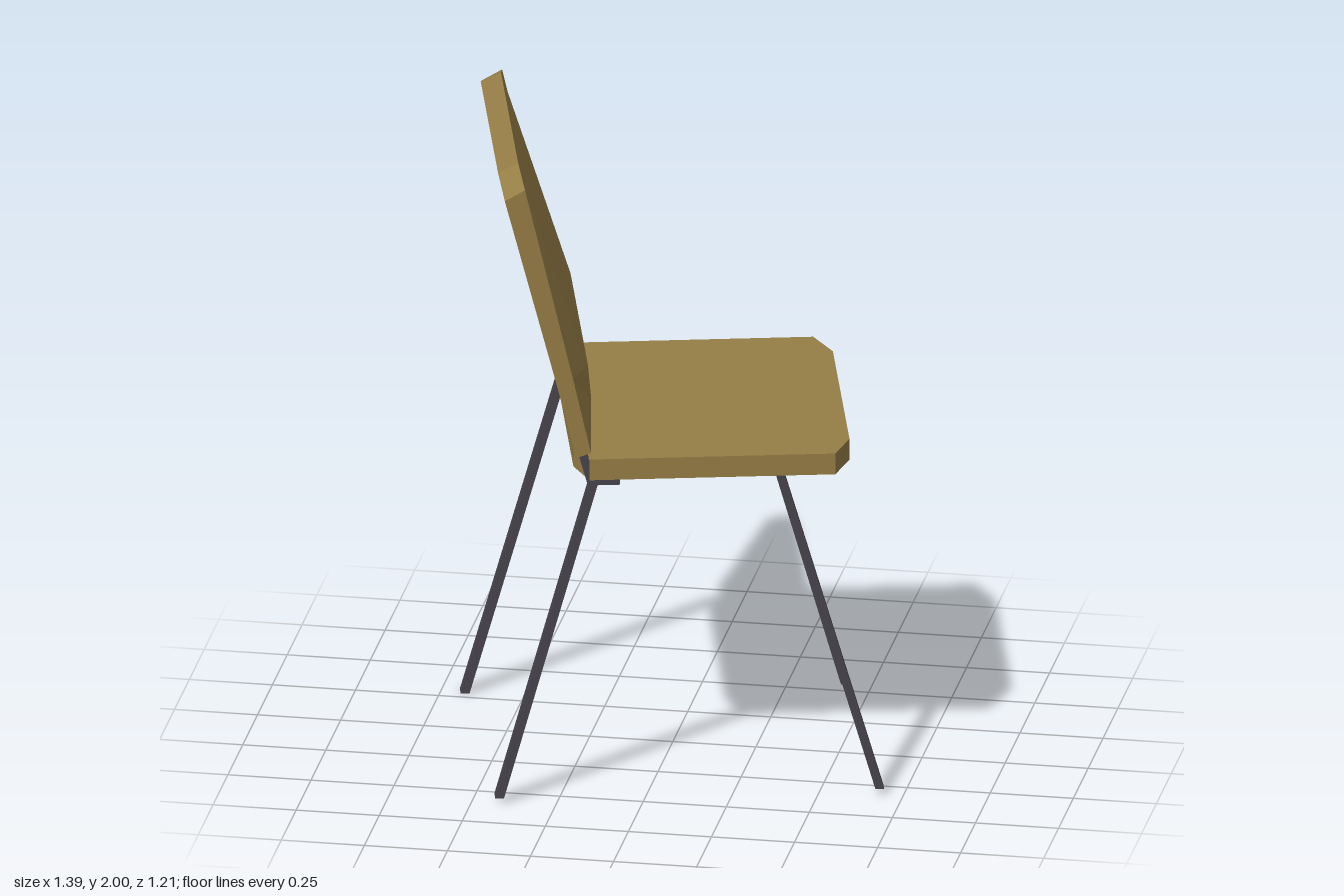
import * as THREE from 'three';

// Built facing +x, then the whole chair is turned a little about y.
export function createModel() {
  const wood = new THREE.MeshStandardMaterial({ color: 0x957d45 });
  wood.name = 'wood';
  const metal = new THREE.MeshStandardMaterial({ color: 0x47434c });
  metal.name = 'metal';
  const chair = new THREE.Group();
  chair.name = 'chair';

  const add = (name, geometry, material) => {
    const flat = geometry.index ? geometry.toNonIndexed() : geometry;
    flat.computeVertexNormals();
    const mesh = new THREE.Mesh(flat, material);
    mesh.name = name;
    chair.add(mesh);
  };

  // Slanted bar with level ends, from a bottom point to a top point
  const bar = (name, [x0, y0], [x1, y1], z, thick, wide) => {
    const g = new THREE.BoxGeometry(thick, 1, wide);
    const p = g.attributes.position;
    for (let i = 0; i < p.count; i++) {
      const t = p.getY(i) + 0.5;
      p.setXYZ(i, p.getX(i) + x0 + (x1 - x0) * t, y0 + (y1 - y0) * t, p.getZ(i) + z);
    }
    add(name, g, metal);
  };

  // Seat slab with clipped corners, and a shallow tapered underside
  const outline = new THREE.Shape([
    [0.45, -0.483], [0.5, -0.36], [0.5, 0.36], [0.45, 0.478],
    [-0.28, 0.478], [-0.32, 0.36], [-0.32, -0.36], [-0.28, -0.483],
  ].map(([x, z]) => new THREE.Vector2(x, z)));
  const slab = (top, depth, taper) => {
    const g = new THREE.ExtrudeGeometry(outline, { depth, bevelEnabled: false });
    g.rotateX(Math.PI / 2).translate(0, top, 0);
    const p = g.attributes.position;
    for (let i = 0; i < p.count; i++) {
      if (p.getY(i) > top - depth / 2) continue;
      p.setX(i, 0.09 + (p.getX(i) - 0.09) * taper);
      p.setZ(i, p.getZ(i) * taper);
    }
    return g;
  };
  add('seat', slab(1.088, 0.066, 1), wood);
  add('seatUnderside', slab(1.022, 0.01, 0.85), wood);

  // Backrest: front and back grids of [x, y], bottom to top, joined by a rim
  const widths = [-0.5, -0.375, 0.375, 0.495];
  const grid = (outer, inner) => outer.map((o, r) =>
    widths.map((z, c) => {
      const [x, y] = c === 0 || c === 3 ? o : inner[r];
      return [x, y, z];
    }));
  const front = grid(
    [[-0.277, 1.115], [-0.33, 1.35], [-0.473, 1.955]],
    [[-0.268, 1.24], [-0.278, 1.35], [-0.485, 1.995]]);
  const back = grid(
    [[-0.32, 1.1], [-0.383, 1.35], [-0.533, 1.922]],
    [[-0.307, 1.18], [-0.352, 1.32], [-0.545, 1.967]]);
  const positions = [];
  const quad = (a, b, c, d) => positions.push(...a, ...b, ...c, ...a, ...c, ...d);
  for (let r = 0; r < 2; r++) {
    for (let c = 0; c < 3; c++) {
      quad(front[r][c], front[r + 1][c], front[r + 1][c + 1], front[r][c + 1]);
      quad(back[r][c], back[r][c + 1], back[r + 1][c + 1], back[r + 1][c]);
    }
  }
  const rim = [[0, 0], [1, 0], [2, 0], [2, 1], [2, 2], [2, 3], [1, 3], [0, 3], [0, 2], [0, 1]];
  rim.forEach(([r, c], i) => {
    const [s, d] = rim[(i + 1) % rim.length];
    quad(front[s][d], front[r][c], back[r][c], back[s][d]);
  });
  const panel = new THREE.BufferGeometry();
  panel.setAttribute('position', new THREE.Float32BufferAttribute(positions, 3));
  add('backrest', panel, wood);

  for (const side of [-1, 1]) {
    const name = side > 0 ? 'Right' : 'Left';
    const z = 0.456 * side;
    const skew = 0.02 * side;
    const floor = side > 0 ? 0.018 : 0;
    // Splayed legs
    bar('frontLeg' + name, [0.562 + skew, floor], [0.268 + skew, 1.02], z, 0.026, 0.042);
    bar('rearLeg' + name, [-0.567 + skew, floor], [-0.279 + skew * 0.7, 1.02], z, 0.026, 0.042);
    // Backrest support and the cleat holding it under the seat
    bar('backSupport' + name, [-0.272, 1.005], [-0.315, 1.16], z, 0.026, 0.04);
    bar('cleat' + name, [-0.235, 1.005], [-0.235, 1.024], z, 0.09, 0.04);
  }

  chair.rotation.y = 0.245;
  const model = new THREE.Group();
  model.name = 'model';
  model.add(chair);
  return model;
}
